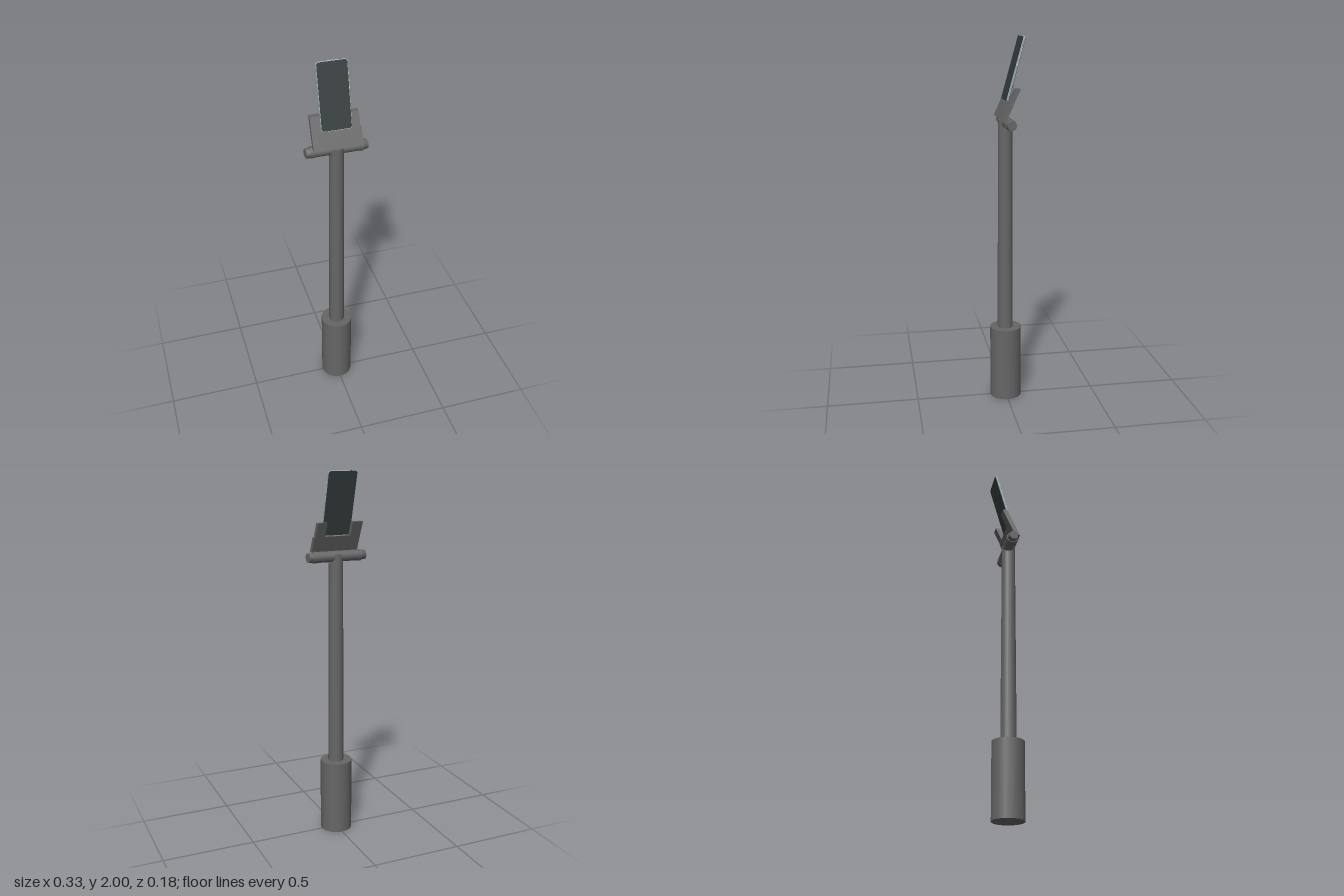
import * as THREE from 'three';

const mat = (color) => new THREE.MeshStandardMaterial({ color });

function add(parent, name, geometry, material, x = 0, y = 0, z = 0) {
  const mesh = new THREE.Mesh(geometry, material);
  mesh.name = name;
  mesh.position.set(x, y, z);
  parent.add(mesh);
  return mesh;
}

// Rounded rectangle slab, centred, facing z
function slab(w, h, d, r) {
  const s = new THREE.Shape();
  const x = w / 2, y = h / 2;
  s.moveTo(-x + r, -y);
  s.lineTo(x - r, -y);
  s.absarc(x - r, -y + r, r, -Math.PI / 2, 0);
  s.lineTo(x, y - r);
  s.absarc(x - r, y - r, r, 0, Math.PI / 2);
  s.lineTo(-x + r, y);
  s.absarc(-x + r, y - r, r, Math.PI / 2, Math.PI);
  s.lineTo(-x, -y + r);
  s.absarc(-x + r, -y + r, r, Math.PI, Math.PI * 1.5);
  return new THREE.ExtrudeGeometry(s, { depth: d, bevelEnabled: false, curveSegments: 6 }).translate(0, 0, -d / 2);
}

export function createModel() {
  const model = new THREE.Group();
  const grey = mat(0x666666);
  const dark = mat(0x353d3c);
  const metal = mat(0x8fa9b5);
  const white = mat(0xf2f2f2);
  const black = mat(0x222626);

  // Handle and slightly tapering pole
  add(model, 'handle', new THREE.CylinderGeometry(0.087, 0.087, 0.41, 16), grey, 0, 0.205, 0);
  add(model, 'pole', new THREE.CylinderGeometry(0.038, 0.043, 1.16, 16), grey, 0, 0.987, 0.002);

  // Hinge bar with a collar and a slightly skewed knob at each end
  const hinge = new THREE.Group();
  hinge.name = 'hinge';
  hinge.position.set(0, 1.554, -0.004);
  model.add(hinge);
  add(hinge, 'hingeBar', new THREE.CylinderGeometry(0.029, 0.029, 0.26, 16), grey).rotation.z = Math.PI / 2;
  for (const side of [-1, 1]) {
    add(hinge, 'collar', new THREE.CylinderGeometry(0.031, 0.031, 0.016, 16), grey, side * 0.128, 0, 0)
      .rotation.z = Math.PI / 2;
    const knob = new THREE.Group();
    knob.name = 'knob';
    knob.position.set(side * 0.146, 0, -side * 0.002);
    knob.rotation.y = 0.11;
    hinge.add(knob);
    add(knob, 'knobCap', new THREE.CylinderGeometry(0.025, 0.029, 0.034, 12), grey)
      .rotation.z = -side * Math.PI / 2;
  }

  // U-shaped clamp plate, sheared backwards so its top edges stay level
  const u = new THREE.Shape([
    [-0.128, 0], [0.131, 0], [0.131, 0.083], [0.124, 0.083], [0.124, 0.158], [0.072, 0.158],
    [0.072, 0.083], [-0.072, 0.083], [-0.072, 0.158], [-0.128, 0.158],
  ].map(([x, y]) => new THREE.Vector2(x, y)));
  const clamp = new THREE.ExtrudeGeometry(u, { depth: 0.027, bevelEnabled: false });
  clamp.applyMatrix4(new THREE.Matrix4().set(
    1, 0, 0, 0,
    0, 1, 0, 0,
    0, -0.46, 1, 0,
    0, 0, 0, 1,
  ));
  clamp.computeVertexNormals();
  add(model, 'clamp', clamp, grey, 0, 1.578, 0.015);

  // Phone leaning back in the clamp
  const phone = new THREE.Group();
  phone.name = 'phone';
  phone.position.set(0, 1.831, -0.041);
  phone.rotation.x = -0.27;
  model.add(phone);
  add(phone, 'frame', slab(0.16, 0.346, 0.008, 0.014), metal);
  add(phone, 'frontRim', slab(0.157, 0.343, 0.002, 0.013), white, 0, 0, 0.005);
  add(phone, 'screen', slab(0.155, 0.34, 0.001, 0.012), dark, 0, 0, 0.0064);
  add(phone, 'backCover', slab(0.157, 0.343, 0.002, 0.013), dark, 0, 0, -0.005);

  // Ports on the two short edges, buttons on one long edge
  for (const end of [-1, 1]) {
    add(phone, 'port', new THREE.BoxGeometry(0.05, 0.001, 0.004), white, 0, end * 0.173, 0);
    for (const x of [-0.045, 0.044]) {
      add(phone, 'socket', new THREE.CylinderGeometry(0.003, 0.003, 0.001, 10), black, x, end * 0.173, 0);
    }
  }
  for (const y of [0.03, 0.07, 0.105]) {
    add(phone, 'button', new THREE.BoxGeometry(0.003, 0.024, 0.004), white, 0.0805, y, 0);
  }

  return model;
}
